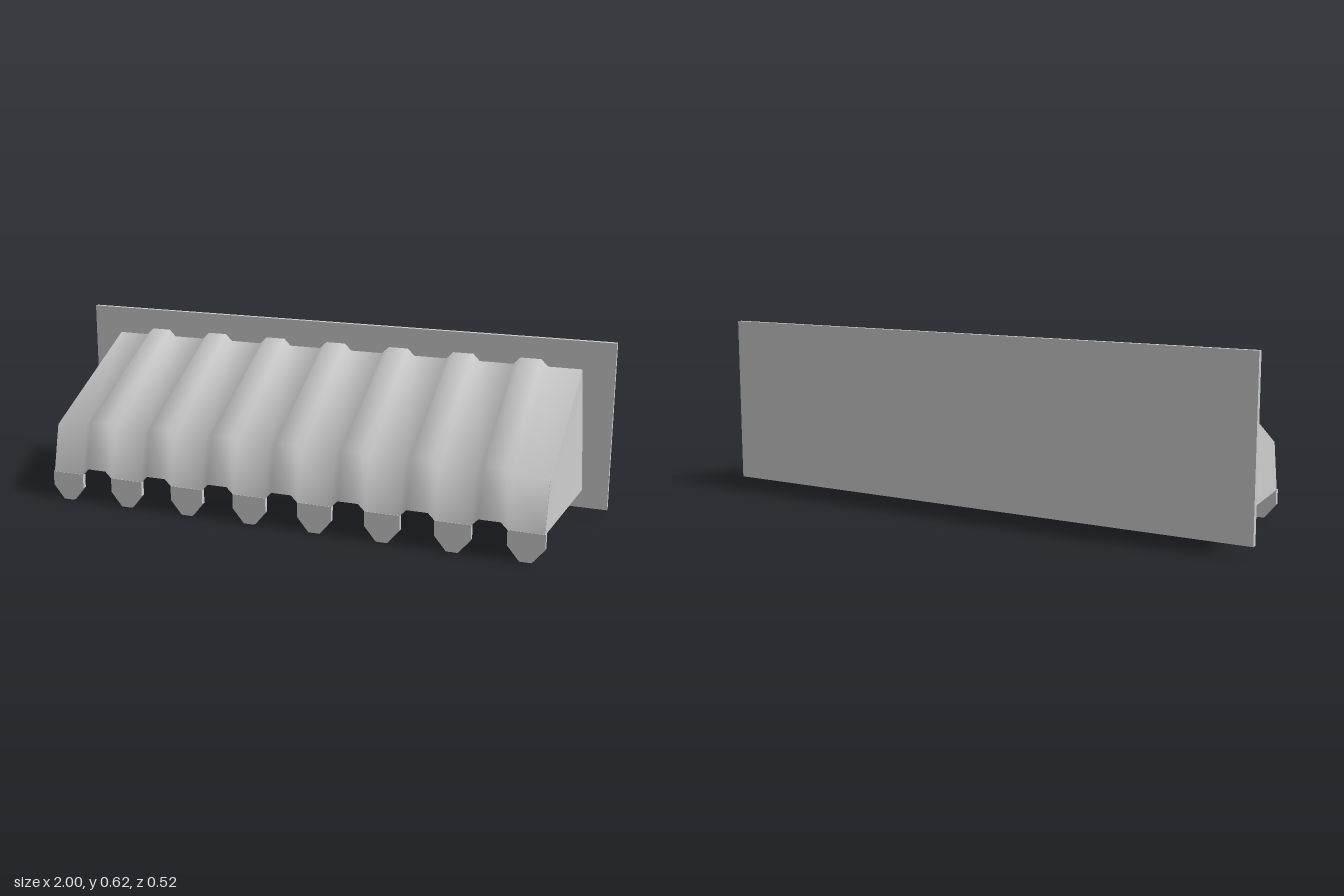
import * as THREE from 'three';
import { toCreasedNormals } from 'three/addons/utils/BufferGeometryUtils.js';

const grey = new THREE.MeshStandardMaterial({ color: 0xcccccc });
const PITCH = 0.238; // spacing of ribs and valance tabs
const HALF = 0.89; // half width of the canopy

// Solid lofted through closed cross-sections, ordered by rising x
function loft(loops, crease) {
  const n = loops[0].length;
  const pos = [];
  const quad = (a, b, c, d) => pos.push(...a, ...b, ...c, ...a, ...c, ...d);
  for (let j = 0; j < loops.length - 1; j++) {
    const a = loops[j], b = loops[j + 1];
    for (let k = 0; k < n; k++) quad(a[k], a[(k + 1) % n], b[(k + 1) % n], b[k]);
  }
  const first = loops[0], last = loops[loops.length - 1];
  for (let k = 0; k < n / 2 - 1; k++) {
    quad(last[k], last[k + 1], last[n - 2 - k], last[n - 1 - k]);
    quad(first[n - 1 - k], first[n - 2 - k], first[k + 1], first[k]);
  }
  const geo = new THREE.BufferGeometry();
  geo.setAttribute('position', new THREE.Float32BufferAttribute(pos, 3));
  return toCreasedNormals(geo, crease);
}

function add(group, name, geo) {
  const mesh = new THREE.Mesh(geo, grey);
  mesh.name = name;
  group.add(mesh);
  return mesh;
}

export function createModel() {
  const model = new THREE.Group();
  model.name = 'awning';

  // Flat wall panel at the back
  add(model, 'wallPanel', new THREE.BoxGeometry(2, 0.583, 0.018)).position.set(0, 0.3285, -0.252);

  // Ribbed canopy sheet, section taken at each fold across the width
  const section = (x, up) => [
    [x, 0.523 + 0.024 * up, -0.243],
    [x, 0.268 + 0.022 * up, 0.222 + 0.005 * up],
    [x, 0.1 + 0.025 * up, 0.26 + 0.002 * up],
    [x, 0.1 + 0.025 * up, 0.245 + 0.002 * up],
    [x, 0.26 + 0.022 * up, 0.209 + 0.005 * up],
    [x, 0.507 + 0.024 * up, -0.243],
  ];
  const sections = [section(-HALF, 0)];
  for (let i = -3; i <= 3; i++) {
    const c = i * PITCH;
    sections.push(section(c - 0.06, 0), section(c - 0.036, 1), section(c + 0.036, 1), section(c + 0.06, 0));
  }
  sections.push(section(HALF, 0));
  add(model, 'canopy', loft(sections, 1.1));

  // Thin side panels, flaring outward towards the lower back corner
  const side = (x, xBack, yBack) => [
    [x, 0.521, -0.243], [x, 0.266, 0.221], [x, 0.1, 0.258], [xBack, yBack, -0.243],
  ];
  add(model, 'leftSide', loft([side(0.878, 0.898, 0.08), side(0.891, 0.912, 0.1)], 0.5));
  add(model, 'rightSide', loft([side(-0.891, -0.912, 0.08), side(-0.878, -0.898, 0.062)], 0.5));

  // Pointed tabs hanging from the front edge
  const tab = new THREE.Shape([
    [-0.061, 0.102], [-0.061, 0.052], [-0.02, 0.003], [0.02, 0.003], [0.061, 0.052], [0.061, 0.102],
  ].map(([x, y]) => new THREE.Vector2(x, y)));
  const tabGeo = new THREE.ExtrudeGeometry(tab, { depth: 0.016, bevelEnabled: false });
  const valance = new THREE.Group();
  valance.name = 'valance';
  for (let i = 0; i < 8; i++) {
    add(valance, 'valanceTab', tabGeo).position.set((i - 3.5) * PITCH, 0, 0.245);
  }
  model.add(valance);
  return model;
}
